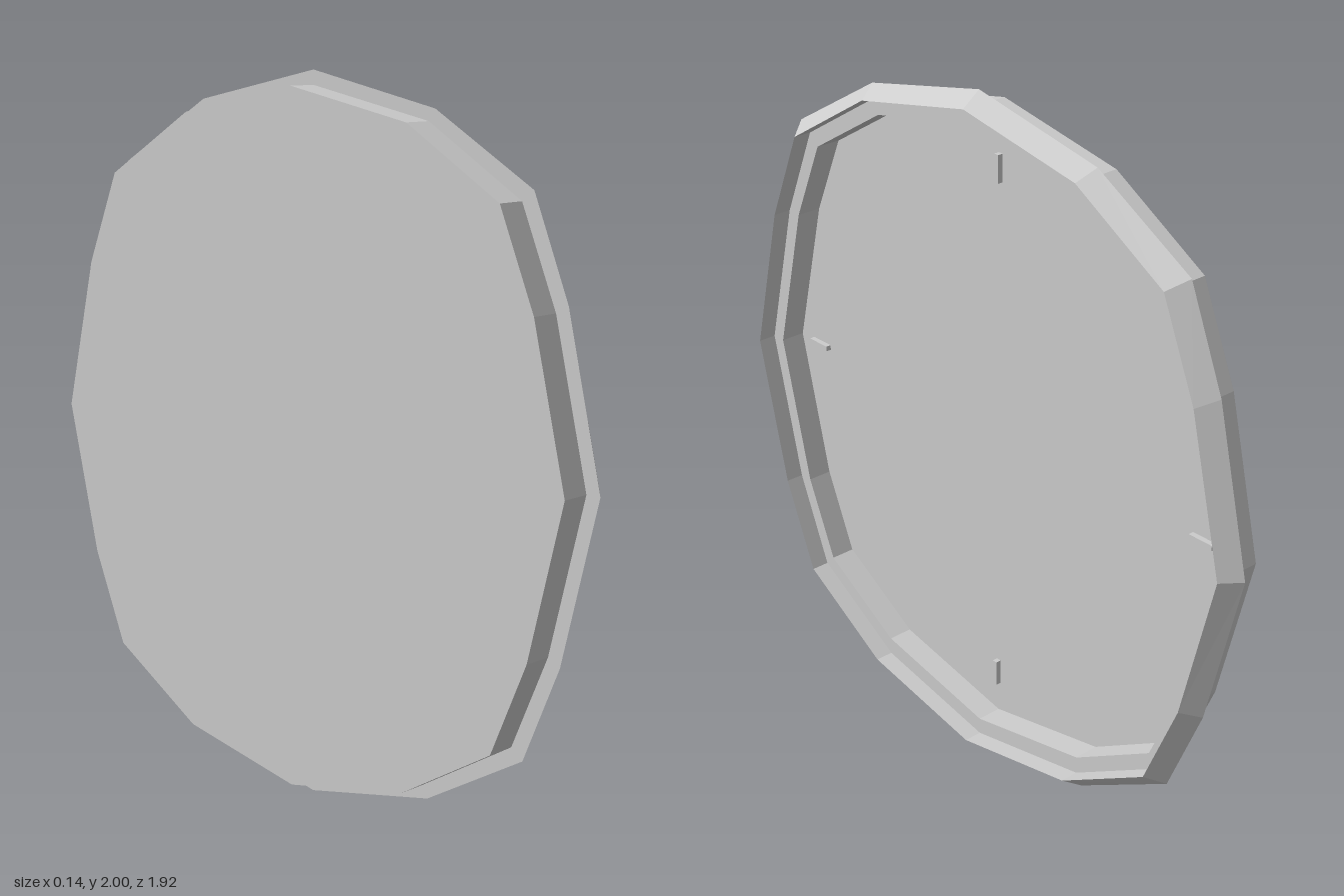
import * as THREE from 'three';

const grey = new THREE.MeshStandardMaterial({ color: 0xcccccc });
grey.name = 'plain grey';

const CENTRE_Y = 1;
const BACK = -0.07, STEP = 0.016, FRONT = 0.07, DIAL = -0.058;

// One quarter of each outline as [z, y], from the side to the top
const quarterOuter = [[0.962, 0], [0.853, 0.455], [0.741, 0.727], [0.423, 0.912], [0, 1]];
const quarterMiddle = [[0.92, 0], [0.815, 0.434], [0.704, 0.698], [0.402, 0.88], [0, 0.96]];
const quarterInner = [[0.878, 0], [0.773, 0.432], [0.672, 0.665], [0.402, 0.828], [0, 0.91]];

// Mirror a quarter into a closed sixteen-sided outline
function outline(q) {
  const half = [...q, ...q.slice(0, -1).reverse().map(([z, y]) => [-z, y])];
  return [...half, ...half.slice(1, -1).reverse().map(([z, y]) => [z, -y])];
}
const outer = outline(quarterOuter);
const middle = outline(quarterMiddle);
const inner = outline(quarterInner);
const centre = outer.map(() => [0, 0]);

// Flat-shaded skin through a sequence of [outline, x] sections
function loft(name, sections) {
  const pos = [];
  const n = outer.length;
  for (let s = 0; s < sections.length - 1; s++) {
    const [A, xa] = sections[s], [B, xb] = sections[s + 1];
    for (let i = 0; i < n; i++) {
      const j = (i + 1) % n;
      const a = [xa, A[i][1], A[i][0]], b = [xa, A[j][1], A[j][0]];
      const c = [xb, B[i][1], B[i][0]], d = [xb, B[j][1], B[j][0]];
      if (B !== centre) pos.push(...a, ...c, ...d);
      else pos.push(...a, ...c, ...b);
      if (A !== centre && B !== centre) pos.push(...a, ...d, ...b);
    }
  }
  const geo = new THREE.BufferGeometry();
  geo.setAttribute('position', new THREE.Float32BufferAttribute(pos, 3));
  geo.computeVertexNormals();
  const mesh = new THREE.Mesh(geo, grey);
  mesh.name = name;
  mesh.position.y = CENTRE_Y;
  return mesh;
}

export function createModel() {
  const group = new THREE.Group();
  group.name = 'wallDial';

  // Back plate, drum wall and the recess inside it
  group.add(loft('case', [
    [centre, BACK], [middle, BACK], [middle, STEP], [inner, STEP], [inner, DIAL],
  ]));
  group.add(loft('dialFace', [[inner, DIAL], [centre, DIAL]]));

  // Wedge-shaped rim overhanging the drum
  group.add(loft('bevelledRim', [
    [middle, STEP], [outer, STEP], [middle, FRONT], [middle, STEP],
  ]));

  // Four quarter markers
  for (let i = 0; i < 4; i++) {
    const upright = i % 2 === 1;
    const angle = i * Math.PI / 2;
    const geo = new THREE.BoxGeometry(0.017, upright ? 0.078 : 0.015, upright ? 0.015 : 0.078);
    const marker = new THREE.Mesh(geo, grey);
    marker.name = 'quarterMarker' + (i + 1);
    const r = upright ? 0.775 : 0.782;
    marker.position.set(DIAL + 0.0075, CENTRE_Y + Math.sin(angle) * r, Math.cos(angle) * r);
    group.add(marker);
  }
  // Side markers sit slightly off centre towards the front edge
  group.getObjectByName('quarterMarker3').position.z = -0.76;
  return group;
}
